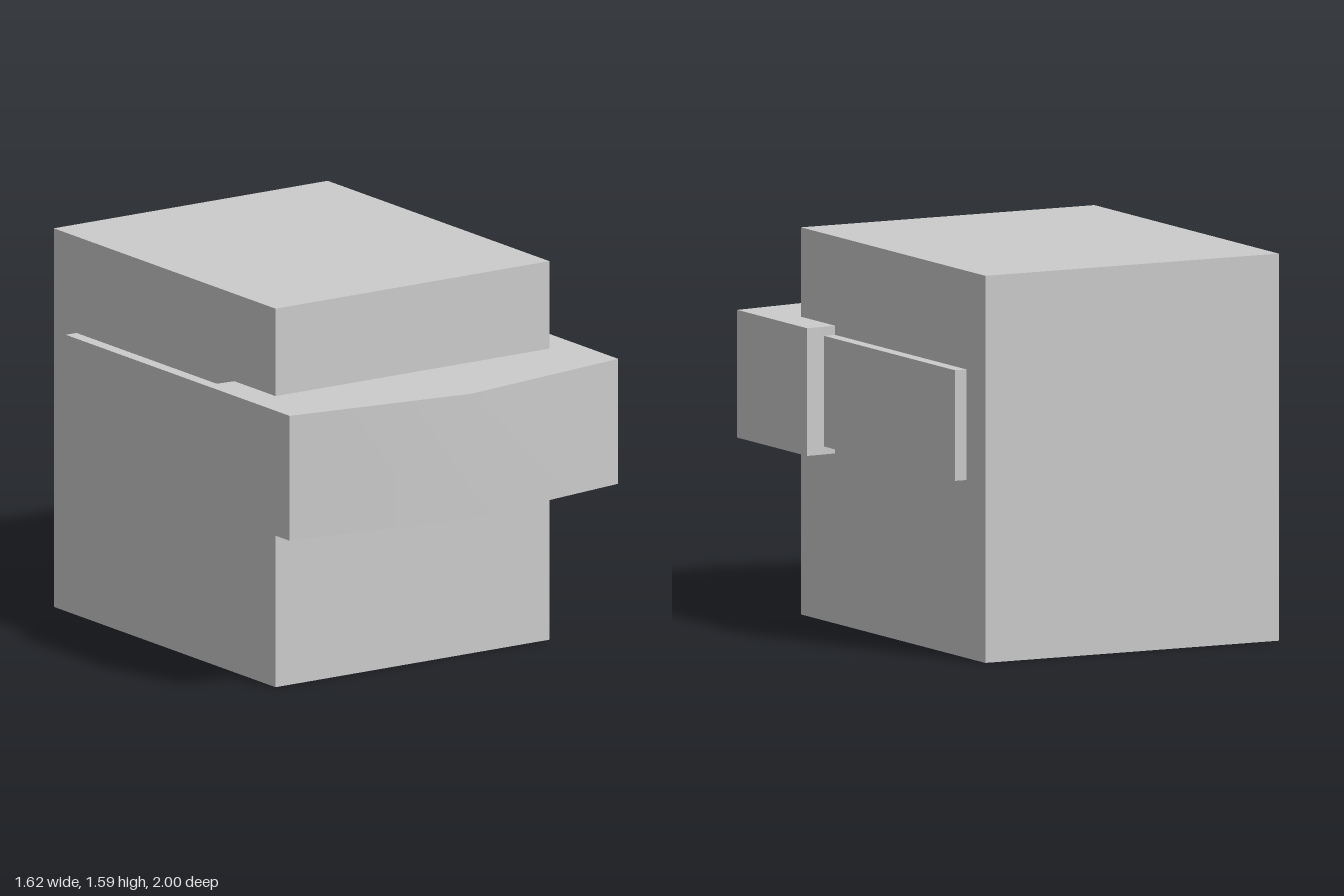
import * as THREE from 'three';
import { toCreasedNormals } from 'three/addons/utils/BufferGeometryUtils.js';

export function createModel() {
  const group = new THREE.Group();
  const material = new THREE.MeshStandardMaterial({ color: 0xcccccc });

  const add = (name, geometry, x, y, z) => {
    const mesh = new THREE.Mesh(geometry, material);
    mesh.name = name;
    mesh.position.set(x, y, z);
    group.add(mesh);
  };

  // Main block
  add('head', new THREE.BoxGeometry(1.35, 1.585, 1.58), 0, 0.7925, -0.21);

  // Visor: plan outline with a shallow point at the front, extruded downwards
  const outline = new THREE.Shape([
    [-0.81, 0.275], [0, 0.347], [0.81, 0.275], [0.81, 0.875], [0, 1], [-0.81, 0.875],
  ].map(([x, z]) => new THREE.Vector2(x, z)));
  const visor = new THREE.ExtrudeGeometry(outline, { depth: 0.523, bevelEnabled: false });
  visor.rotateX(Math.PI / 2);
  add('visor', toCreasedNormals(visor, 0.5), 0, 1.219, 0);

  // Side straps running back from the visor
  for (const [name, side] of [['leftStrap', 1], ['rightStrap', -1]]) {
    add(name, new THREE.BoxGeometry(0.1, 0.453, 1.16), side * 0.678, 0.955, -0.258);
  }

  return group;
}
